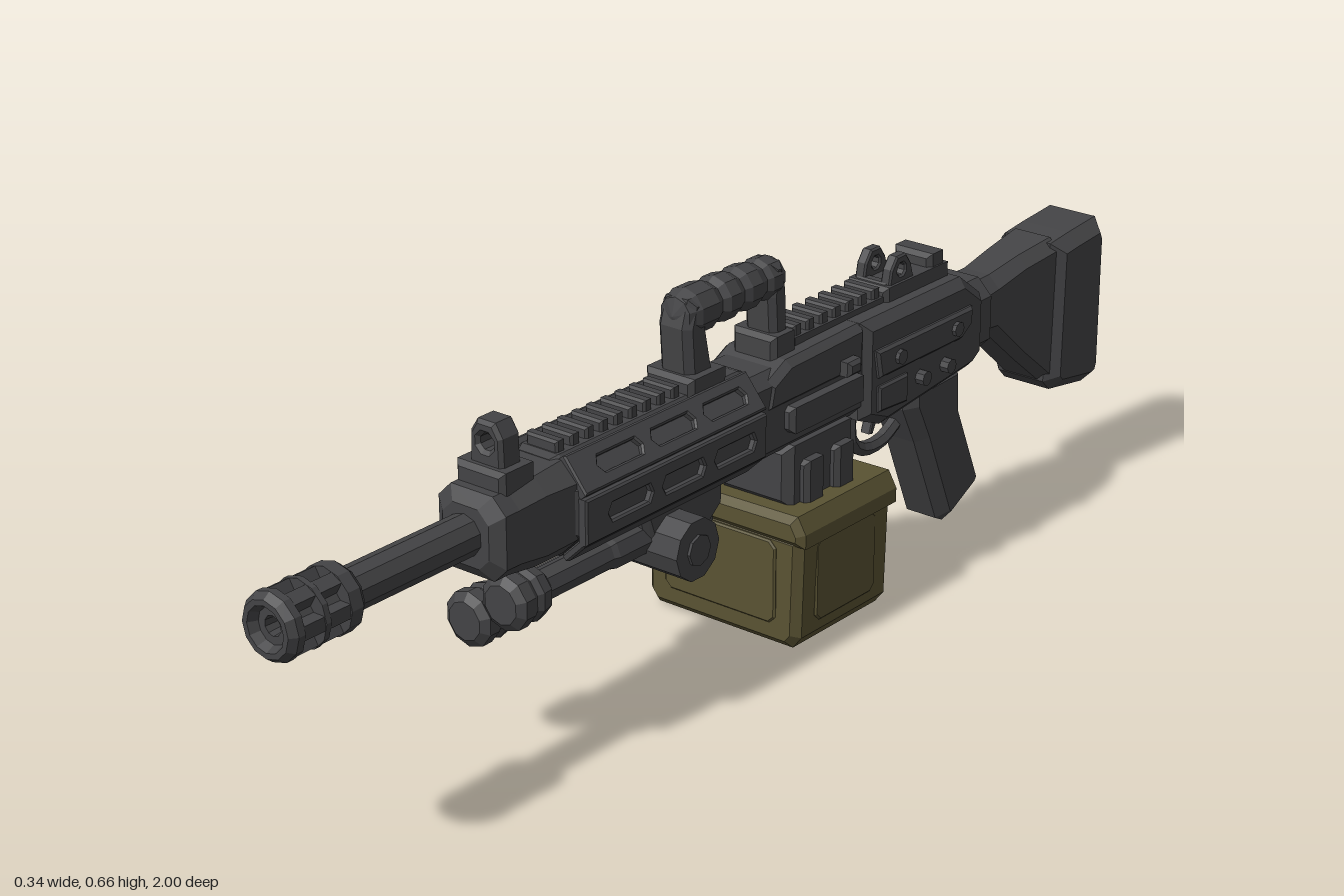
import * as THREE from 'three';

const CX = 0.053; // centre line of the gun
const BORE = 0.418; // barrel height

export function createModel() {
  const root = new THREE.Group();
  root.name = 'toyMachineGun';
  const gunMetal = new THREE.MeshStandardMaterial({ color: 0x444446 });
  gunMetal.name = 'gunMetal';
  const olive = new THREE.MeshStandardMaterial({ color: 0x5a5333 });
  olive.name = 'olive';

  // Adds a faceted mesh
  function add(name, geo, mat = gunMetal) {
    const g = geo.index ? geo.toNonIndexed() : geo;
    g.computeVertexNormals();
    const mesh = new THREE.Mesh(g, mat);
    mesh.name = name;
    root.add(mesh);
    return mesh;
  }
  const v2 = (p) => p.map(([a, b]) => new THREE.Vector2(a, b));

  // Bevelled extrusion centred on its own z = 0
  function slab(pts, depth, bevel = 0.01, holes = []) {
    const shape = new THREE.Shape(v2(pts));
    for (const h of holes) shape.holes.push(new THREE.Path(v2(h)));
    const g = new THREE.ExtrudeGeometry(shape, {
      depth: depth - 2 * bevel, bevelEnabled: bevel > 0, bevelThickness: bevel,
      bevelSize: bevel, bevelOffset: -bevel, bevelSegments: 1, curveSegments: 6,
    });
    return g.translate(0, 0, bevel - depth / 2);
  }
  // Outline in (z, y), thickness across x
  const side = (pts, x0, x1, bevel, holes) =>
    slab(pts, x1 - x0, bevel, holes).rotateY(-Math.PI / 2).translate((x0 + x1) / 2, 0, 0);
  // Outline in (x, y), thickness along z
  const front = (pts, z0, z1, bevel, holes) =>
    slab(pts, z1 - z0, bevel, holes).translate(0, 0, (z0 + z1) / 2);
  const rect = (a0, b0, a1, b1) => [[a0, b0], [a1, b0], [a1, b1], [a0, b1]];
  const block = (x0, x1, y0, y1, z0, z1, bevel = 0.008) => front(rect(x0, y0, x1, y1), z0, z1, bevel);
  const circle = (a, b, r, n = 8) => Array.from({ length: n }, (_, i) => {
    const t = (i + 0.5) / n * Math.PI * 2;
    return [a + r * Math.cos(t), b + r * Math.sin(t)];
  });
  // Turned part along z, profile of [radius, z] from back to front
  const turned = (pts, x, y, n = 10) =>
    new THREE.LatheGeometry(v2(pts), n).rotateX(Math.PI / 2).translate(x, y, 0);
  // Turned part along x
  const pin = (x0, x1, y, z, r, n = 8) =>
    new THREE.CylinderGeometry(r, r, x1 - x0, n).rotateZ(Math.PI / 2).translate((x0 + x1) / 2, y, z);

  // Chamfered sections [z, halfWidth, yBottom, yTop, chamfer] from front to back
  function loft(sections) {
    const pos = [];
    const rings = sections.map(([z, w, b, t, c]) => [
      [w, b + c], [w, t - c], [w - c, t], [c - w, t], [-w, t - c], [-w, b + c], [c - w, b], [w - c, b],
    ].map(([x, y]) => [CX + x, y, z]));
    const tri = (a, b, c) => pos.push(...a, ...b, ...c);
    for (let s = 0; s < rings.length - 1; s++) {
      const A = rings[s], B = rings[s + 1];
      for (let i = 0; i < 8; i++) {
        const j = (i + 1) % 8;
        tri(A[i], B[i], B[j]);
        tri(A[i], B[j], A[j]);
      }
    }
    const F = rings[0], E = rings[rings.length - 1];
    for (let i = 1; i < 7; i++) {
      tri(F[0], F[i], F[i + 1]);
      tri(E[0], E[i + 1], E[i]);
    }
    return new THREE.BufferGeometry().setAttribute('position', new THREE.Float32BufferAttribute(pos, 3));
  }

  // Barrel and slotted muzzle
  add('barrel', turned([[0, 0.4], [0.034, 0.4], [0.034, 0.86], [0.03, 0.985], [0.016, 0.985], [0.013, 0.95], [0, 0.95]], 0.05, BORE));
  add('muzzleCollar', turned([[0.033, 0.845], [0.046, 0.852], [0.054, 0.862], [0.054, 0.885], [0.03, 0.885]], 0.05, BORE, 12));
  add('muzzleRing', turned([[0.03, 0.925], [0.054, 0.925], [0.054, 0.935], [0.03, 0.935]], 0.05, BORE, 12));
  add('muzzleTip', turned([[0.028, 0.975], [0.054, 0.975], [0.054, 0.988], [0.045, 1], [0.036, 1], [0.026, 0.98]], 0.05, BORE, 12));
  for (let i = 0; i < 6; i++) {
    add('muzzleBar', new THREE.BoxGeometry(0.022, 0.034, 0.11).translate(0, 0.034, 0.93)
      .rotateZ((i + 0.5) * Math.PI / 3).translate(0.05, BORE, 0));
  }

  // Gas block and front sight
  add('gasBlock', loft([[0.6, 0.045, 0.37, 0.465, 0.02], [0.585, 0.066, 0.35, 0.485, 0.025],
    [0.555, 0.066, 0.35, 0.485, 0.025], [0.5, 0.07, 0.345, 0.49, 0.025], [0.44, 0.075, 0.345, 0.495, 0.03]]));
  add('sightBase', block(0.005, 0.1, 0.47, 0.515, 0.495, 0.57));
  add('frontSight', front([[0.02, 0.5], [0.086, 0.5], [0.084, 0.56], [0.07, 0.582], [0.036, 0.582], [0.022, 0.56]],
    0.51, 0.555, 0.006, [circle(CX, 0.548, 0.014)]));

  // Handguard with slotted panels
  add('handguard', loft([[0.45, 0.07, 0.345, 0.495, 0.04], [0.435, 0.082, 0.335, 0.5, 0.046],
    [0.015, 0.082, 0.335, 0.5, 0.046], [0, 0.074, 0.34, 0.495, 0.04]]));
  const slots = (h) => [0.09, 0.215, 0.34].map((z) =>
    [[z - 0.045, -h], [z + 0.04, -h], [z + 0.048, 0], [z + 0.04, h], [z - 0.045, h], [z - 0.052, 0]]);
  for (const s of [1, -1]) {
    const flat = side(rect(0.01, -0.037, 0.44, 0.037), -0.009, 0.009, 0.003, slots(0.014));
    add('handguardPanel', flat.translate(CX + s * 0.084, 0.405, 0));
    const slope = side(rect(0.01, -0.034, 0.44, 0.034), -0.009, 0.009, 0.003, slots(0.013));
    add('upperPanel', slope.rotateZ(s * 0.68).translate(CX + s * 0.065, 0.472, 0));
    add('lowerPanel', side(rect(0.01, -0.025, 0.44, 0.025), -0.007, 0.007, 0.003)
      .rotateZ(-s * 0.8).translate(CX + s * 0.066, 0.354, 0));
  }

  // Toothed top rails
  function rail(z0, z1, y, n) {
    add('railBase', block(0.018, 0.088, y - 0.03, y, z0, z1, 0.004));
    const step = (z1 - z0) / n;
    for (let i = 0; i < n; i++) {
      const z = z0 + (i + 0.5) * step;
      add('railTooth', block(0.022, 0.084, y - 0.005, y + 0.018, z - step * 0.3, z + step * 0.3, 0.004));
    }
  }
  rail(0.14, 0.44, 0.5, 9);
  rail(-0.41, -0.13, 0.51, 8);

  // Carrying handle
  add('handleBase', block(0.005, 0.1, 0.47, 0.525, 0.05, 0.14));
  add('handleFrontPost', side([[0.06, 0.5], [0.125, 0.5], [0.132, 0.6], [0.118, 0.645], [0.08, 0.645], [0.078, 0.59]], 0.02, 0.086, 0.012));
  add('handleRearPost', side([[-0.125, 0.52], [-0.085, 0.52], [-0.08, 0.59], [-0.085, 0.645], [-0.11, 0.645], [-0.122, 0.6]], 0.022, 0.084, 0.01));
  add('handleRearBase', block(0.01, 0.096, 0.47, 0.53, -0.13, -0.07));
  add('handleGrip', turned([[0, -0.122], [0.028, -0.118], [0.036, -0.1], [0.036, -0.08], [0.03, -0.07], [0.038, -0.05],
    [0.038, -0.025], [0.031, -0.012], [0.039, 0.005], [0.039, 0.03], [0.031, 0.042], [0.04, 0.06], [0.04, 0.1],
    [0.03, 0.122], [0, 0.13]], CX, 0.616));

  // Receiver
  add('feedSection', loft([[0.01, 0.065, 0.335, 0.485, 0.02], [-0.28, 0.065, 0.335, 0.485, 0.02]]));
  add('feedCover', side([[-0.28, 0.42], [-0.02, 0.42], [-0.03, 0.47], [-0.08, 0.495], [-0.28, 0.5]], -0.015, 0.122, 0.012));
  add('feedTray', block(-0.03, 0.135, 0.375, 0.42, -0.265, -0.07));
  add('receiver', side([[-0.27, 0.33], [-0.33, 0.305], [-0.58, 0.33], [-0.61, 0.35], [-0.61, 0.455], [-0.55, 0.5], [-0.27, 0.5]],
    -0.022, 0.13, 0.016));
  for (const s of [1, -1]) {
    const at = (w) => [CX + s * 0.078 - w / 2, CX + s * 0.078 + w / 2];
    add('receiverPlate', side([[-0.3, 0.4], [-0.53, 0.4], [-0.56, 0.42], [-0.56, 0.45], [-0.29, 0.45]], ...at(0.016), 0.005));
    add('lowerPlate', side([[-0.3, 0.34], [-0.38, 0.335], [-0.38, 0.385], [-0.3, 0.385]], ...at(0.012), 0.004));
    for (const [z, y] of [[-0.42, 0.365], [-0.49, 0.365], [-0.35, 0.425], [-0.51, 0.425]]) {
      add('screw', pin(...at(0.03), y, z, 0.013));
    }
  }
  add('chargingHandle', side(rect(-0.245, 0.43, -0.21, 0.455), 0.1, 0.142, 0.006));

  // Rear sight
  for (const x of [0.018, 0.07]) {
    add('rearSightEar', side([[-0.46, 0.5], [-0.38, 0.5], [-0.39, 0.55], [-0.405, 0.57], [-0.43, 0.57], [-0.445, 0.55]],
      x, x + 0.02, 0.003, [circle(-0.418, 0.545, 0.011)]));
  }
  add('rearSightBase', block(0.012, 0.095, 0.49, 0.525, -0.55, -0.37));
  add('rearSightStop', block(0.015, 0.092, 0.5, 0.548, -0.54, -0.495));

  // Trigger, guard and grip
  const guardPath = [[0, 0.32, -0.33], [0, 0.255, -0.335], [0, 0.232, -0.365], [0, 0.23, -0.42], [0, 0.25, -0.46]]
    .map((p) => new THREE.Vector3(CX + p[0], p[1], p[2]));
  add('triggerGuard', new THREE.TubeGeometry(new THREE.CatmullRomCurve3(guardPath), 10, 0.013, 6));
  add('trigger', side([[-0.38, 0.33], [-0.405, 0.33], [-0.4, 0.285], [-0.385, 0.255], [-0.375, 0.257], [-0.385, 0.285]], 0.043, 0.063, 0.002));
  add('pistolGrip', side([[-0.44, 0.33], [-0.44, 0.285], [-0.475, 0.215], [-0.545, 0.05], [-0.565, 0.04], [-0.645, 0.08],
    [-0.66, 0.1], [-0.595, 0.25], [-0.59, 0.335]], 0.003, 0.103, 0.02));

  // Stock
  add('stockCollar', loft([[-0.595, 0.066, 0.335, 0.468, 0.028], [-0.64, 0.066, 0.335, 0.468, 0.028]]));
  add('stock', loft([[-0.63, 0.052, 0.35, 0.455, 0.025], [-0.69, 0.048, 0.345, 0.455, 0.022],
    [-0.77, 0.05, 0.275, 0.468, 0.02], [-0.86, 0.056, 0.2, 0.478, 0.02]]));
  add('buttPad', side([[-0.84, 0.215], [-0.86, 0.195], [-0.965, 0.178], [-0.99, 0.185], [-1, 0.21], [-1, 0.455],
    [-0.985, 0.485], [-0.9, 0.478], [-0.845, 0.472]], -0.016, 0.122, 0.022));

  // Folded bipod
  const legs = [[-0.012, 0.236], [0.062, 0.285]];
  for (const [x, y] of legs) {
    add('bipodLeg', turned([[0, 0.14], [0.03, 0.14], [0.03, 0.3], [0.026, 0.31], [0.026, 0.48], [0, 0.48]], x, y, 8));
    add('bipodFoot', turned([[0.026, 0.455], [0.042, 0.47], [0.046, 0.49], [0.04, 0.5], [0.046, 0.51], [0.046, 0.53], [0.032, 0.54], [0, 0.54]], x, y));
  }
  add('bipodHinge', pin(-0.06, 0.145, 0.27, 0.18, 0.052, 10));
  add('bipodHingeCap', pin(-0.065, 0.15, 0.27, 0.18, 0.026));
  add('bipodMount', side([[0.05, 0.345], [0.05, 0.29], [0.12, 0.235], [0.22, 0.25], [0.25, 0.345]], 0.012, 0.095, 0.012));
  add('bipodStub', turned([[0, 0.06], [0.025, 0.06], [0.034, 0.075], [0.034, 0.16]], CX, 0.262, 8));

  // Ammunition box
  add('magazineMount', block(-0.025, 0.12, 0.235, 0.345, -0.26, -0.08, 0.015));
  for (const z of [-0.24, -0.16]) add('mountRib', block(0.1, 0.135, 0.235, 0.315, z, z + 0.05));
  add('ammoBox', front([[-0.16, 0.205], [-0.157, 0.025], [-0.14, 0.003], [0.14, 0.003], [0.157, 0.025], [0.162, 0.205]], -0.308, -0.056, 0.014), olive);
  add('ammoBoxBase', block(-0.135, 0.135, 0, 0.02, -0.29, -0.074, 0.004), olive);
  add('ammoBoxLid', front([[-0.173, 0.19], [0.171, 0.19], [0.171, 0.215], [0.155, 0.243], [-0.05, 0.24], [-0.11, 0.222], [-0.173, 0.208]],
    -0.316, -0.048, 0.012), olive);
  const panel = (w) => [[-w, 0.055], [0.012 - w, 0.043], [w - 0.012, 0.043], [w, 0.055], [w, 0.178], [w - 0.012, 0.19], [0.012 - w, 0.19], [-w, 0.178]];
  for (const z of [-0.308, -0.056]) add('boxPanel', front(panel(0.115), z - 0.004, z + 0.004, 0.003), olive);
  for (const x of [-0.158, 0.158]) {
    add('boxSidePanel', side(panel(0.08), x - 0.004, x + 0.004, 0.003).translate(0, 0, -0.182), olive);
  }
  for (const z of [-0.295, -0.075]) add('lidClip', block(-0.165, -0.12, 0.2, 0.232, z - 0.015, z + 0.015, 0.006), olive);

  // Cartridge belt
  const belt = [[-0.022, 0.457], [-0.044, 0.408], [-0.06, 0.357], [-0.074, 0.305], [-0.086, 0.255]];
  for (const [x, y] of belt) {
    add('cartridge', turned([[0, -0.272], [0.025, -0.272], [0.028, -0.262], [0.022, -0.252], [0.029, -0.245], [0.029, -0.16],
      [0.022, -0.142], [0.021, -0.115], [0.012, -0.09], [0, -0.085]], x, y, 8), olive);
    add('beltLink', turned([[0.028, -0.215], [0.033, -0.215], [0.033, -0.185], [0.028, -0.185]], x, y, 8), olive);
  }
  return root;
}
